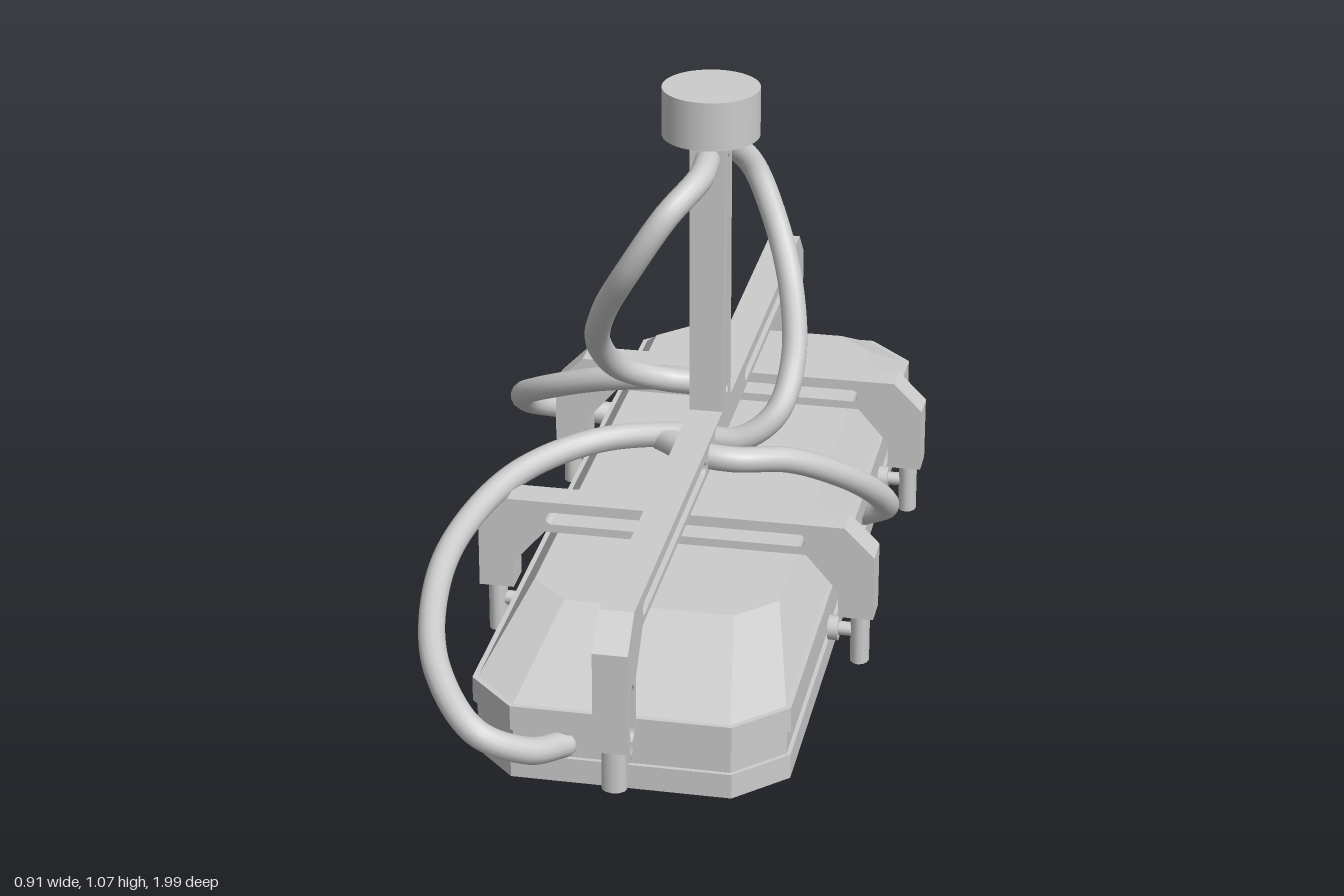
import * as THREE from 'three';

const CX = 0.06, CZ = -0.023;
const grey = new THREE.MeshStandardMaterial({ color: 0xcccccc });
const flat = new THREE.MeshStandardMaterial({ color: 0xcccccc, flatShading: true });
const red = new THREE.MeshStandardMaterial({ color: 0x8a0812, flatShading: true });

function add(parent, name, geometry, material = grey) {
  const mesh = new THREE.Mesh(geometry, material);
  mesh.name = name;
  parent.add(mesh);
  return mesh;
}

// Rectangle with cut corners, counterclockwise seen from above
function octagon(y, x0, x1, z0, z1, c) {
  return [[x1, z1 - c], [x1, z0 + c], [x1 - c, z0], [x0 + c, z0],
    [x0, z0 + c], [x0, z1 - c], [x0 + c, z1], [x1 - c, z1]].map(([x, z]) => new THREE.Vector3(x, y, z));
}
const housingRing = (y, inset) =>
  octagon(y, -0.245 + inset, 0.365 - inset, -0.918 + inset, 0.87 - inset, 0.095 - 0.586 * inset);
const centre = (y) => Array.from({ length: 8 }, () => new THREE.Vector3(CX, y, CZ));

// Faceted skin through a stack of rings
function loft(rings) {
  const pts = [];
  for (let r = 0; r + 1 < rings.length; r++) {
    for (let i = 0; i < 8; i++) {
      const j = (i + 1) % 8, a = rings[r], b = rings[r + 1];
      pts.push(a[i], a[j], b[j], a[i], b[j], b[i]);
    }
  }
  const g = new THREE.BufferGeometry().setFromPoints(pts);
  g.computeVertexNormals();
  return g;
}

const polygon = (points) => points.map(([x, y]) => new THREE.Vector2(x, y));

// Slot with round ends
function slot(x0, x1, y0, y1) {
  const p = new THREE.Path();
  const r = Math.min(x1 - x0, y1 - y0) / 2;
  if (x1 - x0 > y1 - y0) {
    p.absarc(x1 - r, y0 + r, r, -Math.PI / 2, Math.PI / 2);
    p.absarc(x0 + r, y0 + r, r, Math.PI / 2, Math.PI * 1.5);
  } else {
    p.absarc(x0 + r, y1 - r, r, 0, Math.PI);
    p.absarc(x0 + r, y0 + r, r, Math.PI, Math.PI * 2);
  }
  p.closePath();
  return p;
}

function plate(outline, holes, depth) {
  const shape = new THREE.Shape(polygon(outline));
  shape.holes.push(...holes);
  const g = new THREE.ExtrudeGeometry(shape, { depth, bevelEnabled: false, curveSegments: 6 });
  return g.translate(0, 0, -depth / 2);
}

// Bridge with chamfered shoulders, a clamp pin and a bolt under each leg
function bridge(name, half, top, slots, pinBottom, boltEnd) {
  const group = new THREE.Group();
  group.name = name;
  const right = [[half - 0.07, 0.12], [half, 0.12], [half, top - 0.06], [half - 0.06, top]];
  const inner = [[half - 0.07, top - 0.14], [half - 0.135, top - 0.065]];
  const mirror = ([x, y]) => [-x, y];
  const outline = [...right, ...[...right].reverse().map(mirror), ...inner.map(mirror), ...[...inner].reverse()];
  add(group, 'bridgeBeam', plate(outline, slots, 0.067));
  for (const s of [-1, 1]) {
    const x = s * (half - 0.03);
    const pin = add(group, 'clampPin', new THREE.CylinderGeometry(0.024, 0.024, 0.12 - pinBottom, 12), grey);
    pin.scale.x = 0.8;
    pin.position.set(x, (0.12 + pinBottom) / 2, 0);
    const length = half - 0.03 - boltEnd;
    const bolt = add(group, 'bolt', new THREE.CylinderGeometry(0.014, 0.014, length, 12));
    bolt.rotation.z = Math.PI / 2;
    bolt.position.set(s * (boltEnd + length / 2), 0.078, 0);
    const collar = add(group, 'boltCollar', new THREE.CylinderGeometry(0.025, 0.025, 0.02, 12));
    collar.rotation.z = Math.PI / 2;
    collar.position.set(s * (boltEnd + 0.012), 0.078, 0);
  }
  return group;
}

function cable(parent, name, points) {
  const curve = new THREE.CatmullRomCurve3(points.map((p) => new THREE.Vector3(...p)), false, 'centripetal');
  add(parent, name, new THREE.TubeGeometry(curve, points.length * 9, 0.026, 14));
  // Closed ends
  for (const p of [points[0], points[points.length - 1]]) {
    add(parent, 'cableEnd', new THREE.SphereGeometry(0.026, 14, 8)).position.set(...p);
  }
}

export function createModel() {
  const model = new THREE.Group();
  model.name = 'hangingLamp';

  // Housing with a recess underneath, a groove round the sides and a sloped lid
  add(model, 'lampHousing', loft([
    centre(0.035), housingRing(0.035, 0.07), housingRing(0, 0.07), housingRing(0, 0),
    housingRing(0.05, 0), housingRing(0.05, 0.008), housingRing(0.1, 0.008),
    housingRing(0.1, 0), housingRing(0.15, 0), housingRing(0.15, 0.01),
    octagon(0.24, -0.18, 0.3, -0.73, 0.605, 0.075), centre(0.24),
  ]), flat);
  add(model, 'lightPanel', loft([
    centre(0.015), housingRing(0.015, 0.085), housingRing(0.036, 0.085),
  ]), red);

  // Long bridge along the lamp
  const long = bridge('longBridge', 0.977, 0.385, [
    slot(0.22, 0.84, 0.333, 0.361), slot(-0.84, -0.22, 0.333, 0.361),
    slot(0.924, 0.96, 0.13, 0.245), slot(-0.96, -0.924, 0.13, 0.245),
  ], 0.03, 0.89);
  long.rotation.y = -Math.PI / 2;
  long.position.set(CX, 0, CZ);
  model.add(long);

  // Two short bridges across it
  for (const z of [-0.368, 0.318]) {
    const cross = bridge('crossBridge', 0.397, 0.315, [slot(-0.26, 0.26, 0.267, 0.293)], 0.013, 0.303);
    cross.position.set(CX, 0, z);
    model.add(cross);
  }

  // Slotted post and ceiling mount
  const post = add(model, 'post', plate(
    [[-0.042, 0.37], [0.042, 0.37], [0.042, 0.98], [-0.042, 0.98]],
    [slot(-0.012, 0.012, 0.41, 0.93)], 0.07));
  post.rotation.y = -Math.PI / 2;
  post.position.set(CX, 0, CZ);
  add(model, 'ceilingMount', new THREE.CylinderGeometry(0.098, 0.098, 0.1, 40)).position.set(CX, 1.02, CZ);

  // Main cable: front end, right loop, over the top, left loop, back end
  cable(model, 'mainCable', [
    [-0.05, 0.075, 0.86], [-0.1, 0.095, 0.93], [-0.19, 0.145, 0.968], [-0.29, 0.21, 0.86],
    [-0.35, 0.26, 0.62], [-0.34, 0.295, 0.43], [-0.27, 0.33, 0.25], [-0.14, 0.348, 0.12],
    [0.02, 0.355, 0.075], [0.14, 0.36, 0.085], [0.21, 0.41, 0.06], [0.233, 0.5, -0.01],
    [0.215, 0.63, -0.08], [0.165, 0.76, -0.15], [0.115, 0.86, -0.17], [0.07, 0.92, -0.11],
    [0.06, 0.93, -0.02], [0.06, 0.92, 0.1], [0.01, 0.87, 0.18], [-0.06, 0.76, 0.185],
    [-0.135, 0.62, 0.1], [-0.168, 0.5, -0.01], [-0.14, 0.415, -0.09], [-0.06, 0.37, -0.15],
    [0.04, 0.355, -0.18], [-0.06, 0.35, -0.2], [-0.2, 0.325, -0.225], [-0.34, 0.265, -0.29],
    [-0.42, 0.2, -0.38], [-0.425, 0.14, -0.47], [-0.36, 0.095, -0.55], [-0.23, 0.075, -0.57],
  ]);

  // Side cable
  cable(model, 'sideCable', [
    [-0.02, 0.345, 0.08], [0.06, 0.35, 0.145], [0.14, 0.345, 0.15], [0.24, 0.325, 0.09],
    [0.33, 0.265, 0.01], [0.395, 0.18, -0.09], [0.41, 0.115, -0.16], [0.36, 0.075, -0.2],
  ]);

  return model;
}
